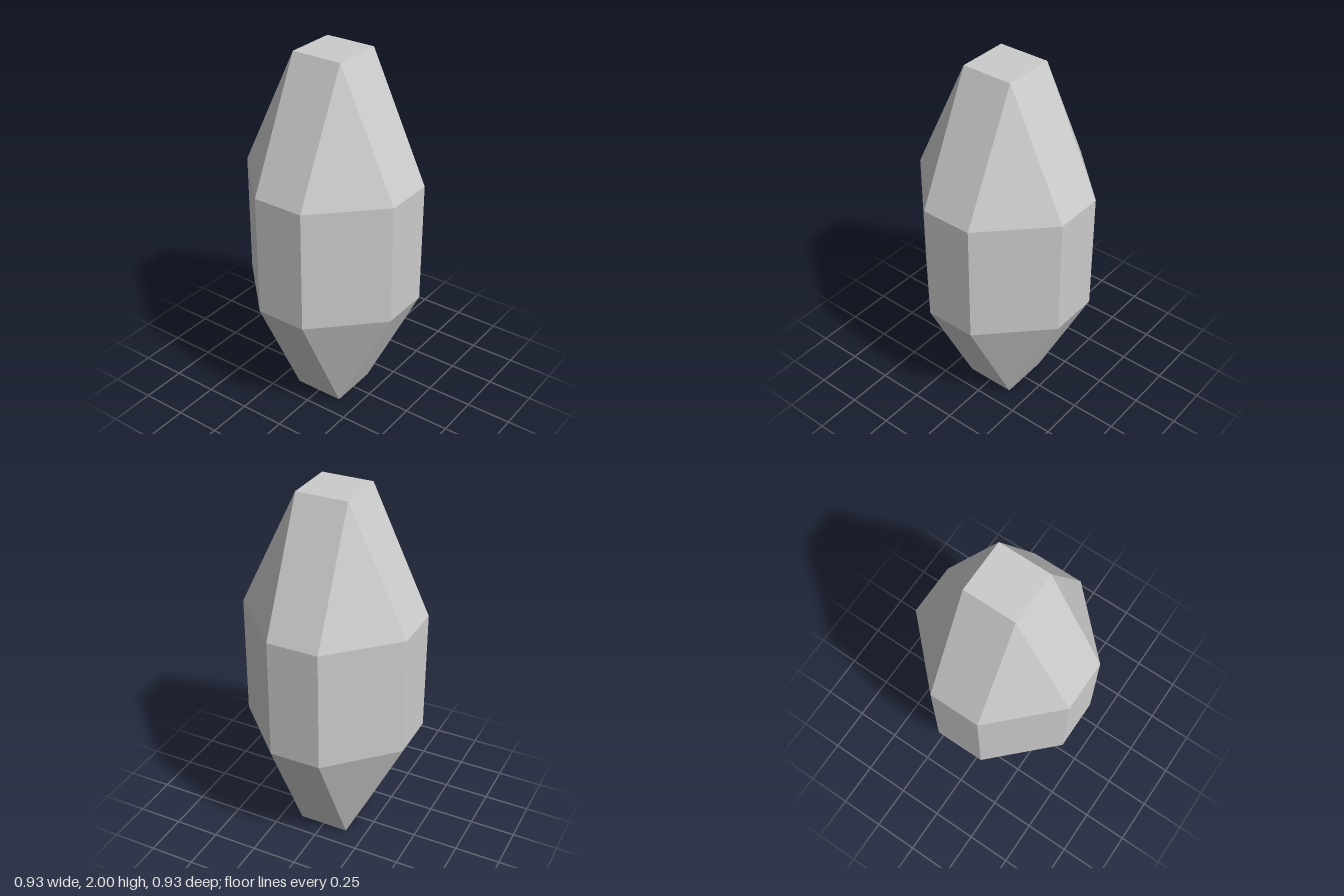
import * as THREE from 'three';
import { ConvexGeometry } from 'three/addons/geometries/ConvexGeometry.js';

const INNER = 0.14;      // half width of the square end caps
const OUTER = 0.4625;    // half width of the eight-sided girdle
const HEIGHT = 2;
const GIRDLE_LOW = 0.667;
const GIRDLE_HIGH = 1.333;

// Corners mirrored across x and z
function ring(x, y, z) {
  const points = [];
  for (const sx of [-1, 1]) {
    for (const sz of [-1, 1]) points.push(new THREE.Vector3(sx * x, y, sz * z));
  }
  return points;
}

export function createModel() {
  const corners = [];

  // Square caps at the bottom and top
  for (const y of [0, HEIGHT]) corners.push(...ring(INNER, y, INNER));

  // Eight-sided girdle: its narrow sides line up with the caps
  for (const y of [GIRDLE_LOW, GIRDLE_HIGH]) {
    corners.push(...ring(INNER, y, OUTER), ...ring(OUTER, y, INNER));
  }

  const crystal = new THREE.Mesh(
    new ConvexGeometry(corners),
    new THREE.MeshStandardMaterial({ color: 0xcccccc, flatShading: true })
  );
  crystal.name = 'crystal';

  const model = new THREE.Group();
  model.name = 'facetedCrystal';
  model.add(crystal);
  return model;
}
